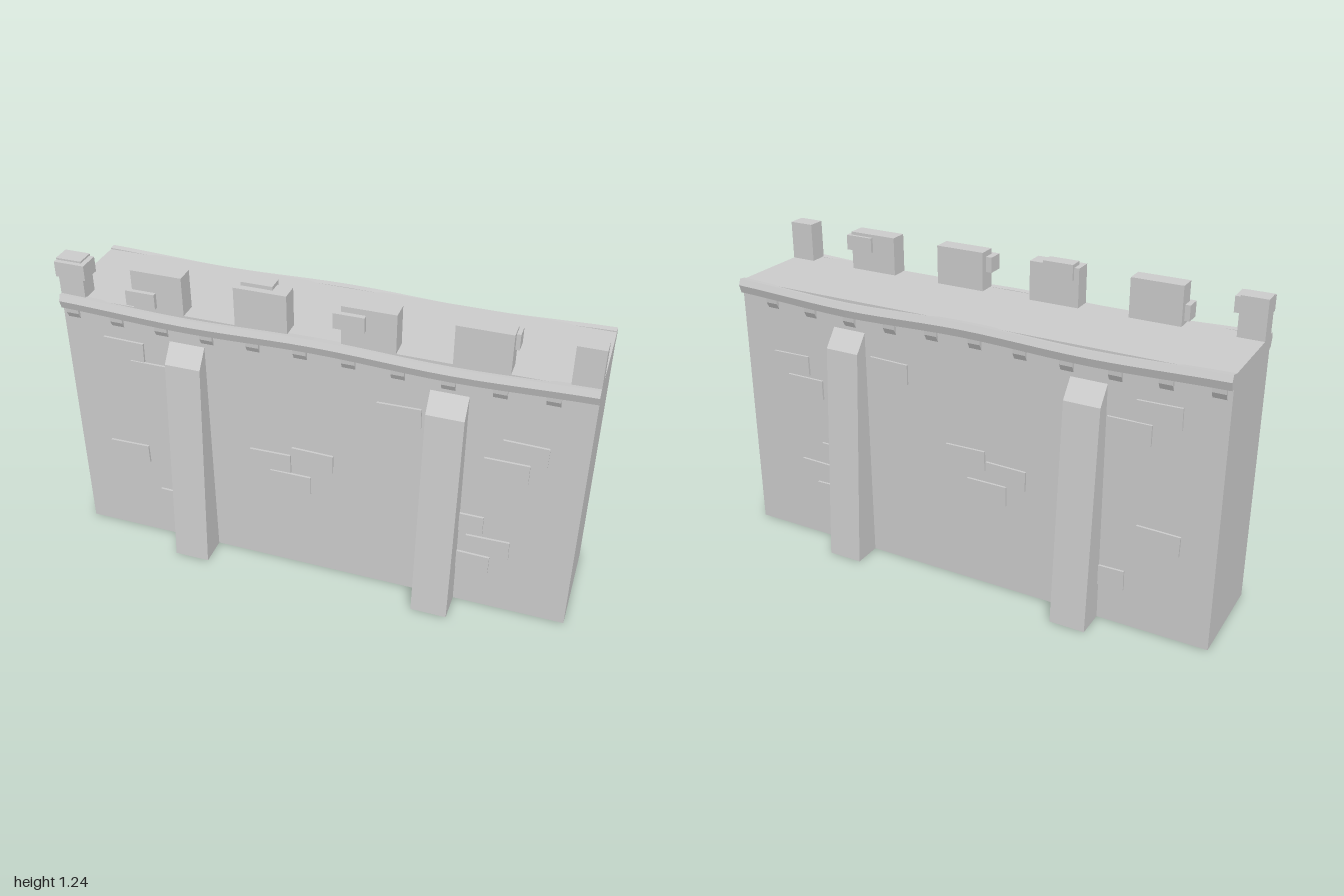
import * as THREE from 'three';

const stone = new THREE.MeshStandardMaterial({ color: 0xcccccc, flatShading: true });
const shell = new THREE.MeshStandardMaterial({ color: 0xcccccc, flatShading: true, side: THREE.DoubleSide });

function add(parent, name, geometry, material = stone) {
  const mesh = new THREE.Mesh(geometry, material);
  mesh.name = name;
  parent.add(mesh);
  return mesh;
}

// Box given by its limits on each axis
function block(x0, x1, y0, y1, z0, z1) {
  return new THREE.BoxGeometry(x1 - x0, y1 - y0, z1 - z0)
    .translate((x0 + x1) / 2, (y0 + y1) / 2, (z0 + z1) / 2);
}

// Remove box faces by number: 0 +x, 1 -x, 2 +y, 3 -y, 4 +z, 5 -z
function dropFaces(geometry, faces) {
  const kept = Array.from(geometry.index.array).filter((v, i) => !faces.includes(Math.floor(i / 6)));
  geometry.setIndex(kept);
  geometry.clearGroups();
  return geometry;
}

// Extrude a [z, y] profile along x, centred on x = 0
function sweepX(profile, length, steps = 1) {
  const shape = new THREE.Shape(profile.map(([z, y]) => new THREE.Vector2(-z, y)));
  return new THREE.ExtrudeGeometry(shape, { depth: length, steps, bevelEnabled: false })
    .translate(0, 0, -length / 2)
    .rotateY(Math.PI / 2);
}

// Uneven line of the string course
const sagCurve = new THREE.SplineCurve([
  [-1, 0.003], [-0.55, -0.012], [0, 0], [0.52, -0.014], [1, 0.003],
].map(([x, y]) => new THREE.Vector2(x, y)));
const sag = (x) => sagCurve.getPoint((x + 1) / 2).y;

// Tapered buttress with a sloping top, open against the wall and ground
function buttress(x, side) {
  const g = dropFaces(new THREE.BoxGeometry(0.14, 1, 1), [3, side > 0 ? 5 : 4]);
  const p = g.attributes.position;
  for (let i = 0; i < p.count; i++) {
    const top = p.getY(i) > 0;
    const outer = p.getZ(i) * side > 0;
    p.setXYZ(i, p.getX(i) + x,
      top ? (outer ? 0.88 : 0.95) : 0,
      side * (outer ? (top ? 0.255 : 0.315) : 0.2));
  }
  g.computeVertexNormals();
  return g;
}

// Centres of the raised bricks on each wall face
const brickSpots = [
  [-0.76, 0.88], [-0.655, 0.795], [0.32, 0.82], [0.78, 0.76], [0.72, 0.67],
  [-0.18, 0.495], [-0.01, 0.535], [-0.1, 0.41], [-0.785, 0.395],
  [-0.585, 0.19], [0.575, 0.395], [0.68, 0.3], [0.61, 0.21],
];

export function createModel() {
  const model = new THREE.Group();
  model.name = 'castleWall';

  // Hollow wall body, open underneath
  add(model, 'wallBody', dropFaces(block(-1, 1, 0, 1.07, -0.2, 0.2), [3]), shell);

  for (const side of [1, -1]) {
    const face = new THREE.Group();
    face.name = side > 0 ? 'frontFace' : 'backFace';
    model.add(face);

    for (const x of [-0.497, 0.497]) add(face, 'buttress', buttress(x, side), shell);

    // String course along the top edge
    const course = sweepX([
      [0.19, 1.072], [0.214, 1.074], [0.224, 1.05], [0.214, 1.018], [0.19, 1.018],
    ].map(([z, y]) => [z * side, y]), 2, 24);
    const p = course.attributes.position;
    for (let i = 0; i < p.count; i++) p.setY(i, p.getY(i) + sag(p.getX(i)));
    course.computeVertexNormals();
    add(face, 'stringCourse', course);

    // Corbels beneath it
    for (let i = 0; i < 11; i++) {
      const x = -0.957 + i * 0.181;
      const corbel = sweepX([
        [0.19, 1.03], [0.214, 1.03], [0.212, 0.995], [0.2, 0.972], [0.19, 0.972],
      ].map(([z, y]) => [z * side, y]), 0.05);
      add(face, 'corbel', corbel).position.set(x, sag(x) + 0.006, 0);
    }

    // Raised bricks, each slightly crooked
    brickSpots.forEach(([x, y], i) => {
      const brick = add(face, 'wallBrick', new THREE.BoxGeometry(0.165, 0.08, 0.022));
      brick.position.set(x, y, side * 0.198);
      brick.rotation.z = ((i % 3) - 1) * 0.02;
    });
  }

  // Merlons along the front parapet
  for (const x of [-0.6, -0.2, 0.2, 0.6]) {
    add(model, 'merlon', block(x - 0.1, x + 0.1, 1.06, 1.222, 0.13, 0.2));
  }
  for (const s of [-1, 1]) {
    const x = s * 0.95;
    add(model, 'endMerlon', block(x - 0.05, x + 0.05, 1.06, 1.222, 0.13, 0.2));
  }

  // Loose bricks standing out of the merlons
  const looseBricks = [
    [-1, -0.88, 1.155, 1.215, 0.135, 0.218],
    [-0.72, -0.605, 1.085, 1.145, 0.155, 0.217],
    [-0.28, -0.16, 1.175, 1.236, 0.118, 0.175],
    [0.075, 0.19, 1.14, 1.2, 0.155, 0.219],
    [0.6, 0.715, 1.15, 1.21, 0.117, 0.17],
  ];
  for (const limits of looseBricks) add(model, 'merlonBrick', block(...limits));

  return model;
}
